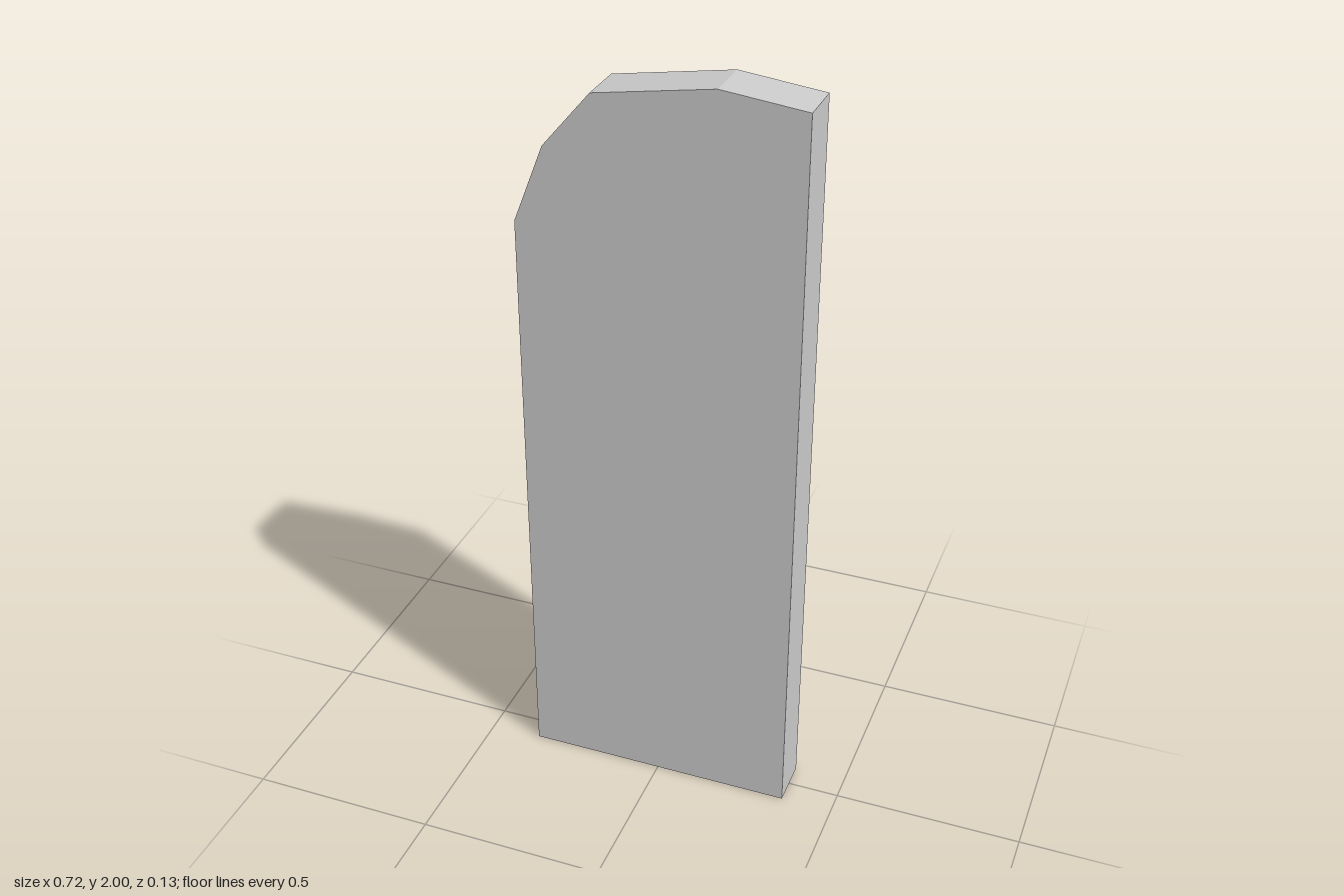
import * as THREE from 'three';

// Flat upright slab with a faceted, lopsided rounded top
export function createModel() {
  const group = new THREE.Group();
  group.name = 'slab';

  const depth = 0.13;
  const halfWidth = 0.362;

  // Front outline, counter-clockwise from the bottom corner
  const outline = [
    [-halfWidth, 0],
    [halfWidth, 0],
    [halfWidth, 1.975],
    [0.145, 2],
    [-0.16, 1.95],
    [-0.283, 1.805],
    [-halfWidth, 1.603],
  ].map(([x, y]) => new THREE.Vector2(x, y));

  const geometry = new THREE.ExtrudeGeometry(new THREE.Shape(outline), {
    depth,
    bevelEnabled: false,
  });
  geometry.translate(0, 0, -depth / 2);

  const material = new THREE.MeshStandardMaterial({ color: 0xcccccc, flatShading: true });
  const panel = new THREE.Mesh(geometry, material);
  panel.name = 'panel';
  group.add(panel);
  return group;
}
